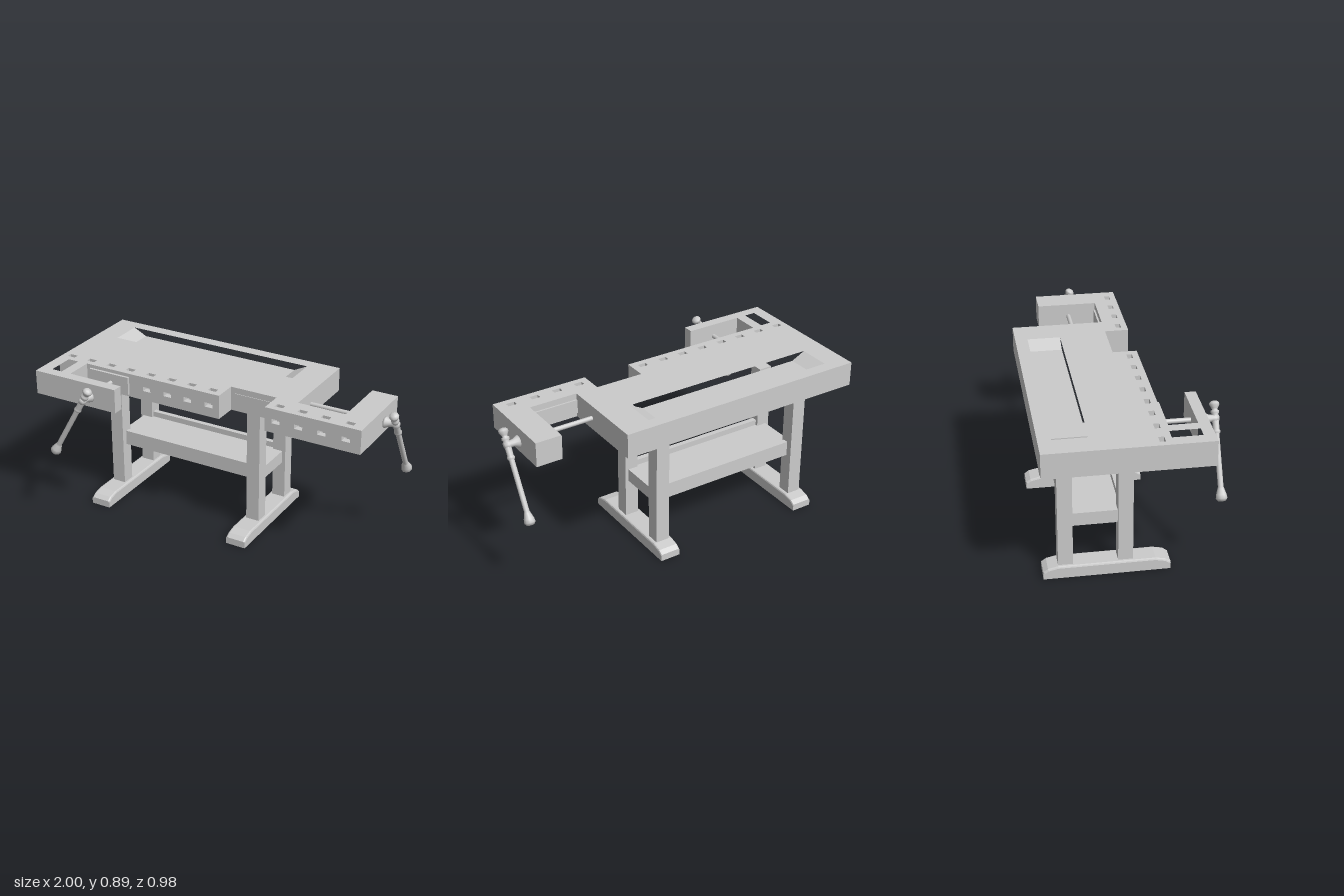
import * as THREE from 'three';

const material = new THREE.MeshStandardMaterial({ color: 0xcccccc });
const BOTTOM = 0.745, TOP = 0.885;      // worktop underside and surface
const SCREW_Y = 0.81;

function add(parent, name, geometry) {
  const mesh = new THREE.Mesh(geometry, material);
  mesh.name = name;
  parent.add(mesh);
  return mesh;
}

// Box given by its limits on each axis
function box(parent, name, [x0, x1], [y0, y1], [z0, z1]) {
  const g = new THREE.BoxGeometry(x1 - x0, y1 - y0, z1 - z0);
  g.translate((x0 + x1) / 2, (y0 + y1) / 2, (z0 + z1) / 2);
  return add(parent, name, g);
}

const rect = (x0, x1, y0, y1) => [[x0, y0], [x1, y0], [x1, y1], [x0, y1]];

function makeShape(points, holes = []) {
  const shape = new THREE.Shape(points.map(p => new THREE.Vector2(...p)));
  shape.holes = holes.map(h => new THREE.Path(h.map(p => new THREE.Vector2(...p))));
  return shape;
}

// Plan outline in (x, z), extruded upwards from y0 to y1
function slab(parent, name, outline, holes, y0 = BOTTOM, y1 = TOP) {
  const flip = pts => pts.map(([x, z]) => [x, -z]);
  const g = new THREE.ExtrudeGeometry(makeShape(flip(outline), holes.map(flip)),
    { depth: y1 - y0, bevelEnabled: false });
  g.rotateX(-Math.PI / 2).translate(0, y0, 0);
  return add(parent, name, g);
}

// Elevation outline in (x, y), extruded from z0 to z1
function panel(parent, name, outline, holes, z0, z1) {
  const g = new THREE.ExtrudeGeometry(makeShape(outline, holes), { depth: z1 - z0, bevelEnabled: false });
  g.translate(0, 0, z0);
  return add(parent, name, g);
}

// Square notches along the front edge, listed from right to left
const HOLE = 0.024;
const notches = xs => [...xs].reverse().flatMap(x =>
  [[x + HOLE, 0.13], [x + HOLE, 0.1], [x - HOLE, 0.1], [x - HOLE, 0.13]]);
const frontHoles = xs => xs.map(x => rect(x - HOLE, x + HOLE, 0.80, 0.826));

function dogHoleFloors(parent, xs) {
  for (const x of xs) box(parent, 'dogHoleFloor', [x - HOLE, x + HOLE], [BOTTOM, 0.765], [0.1, 0.13]);
}

function rod(parent, name, from, to, radius) {
  const a = new THREE.Vector3(...from), b = new THREE.Vector3(...to);
  const mesh = add(parent, name, new THREE.CylinderGeometry(radius, radius, a.distanceTo(b), 14));
  mesh.position.copy(a).add(b).multiplyScalar(0.5);
  mesh.quaternion.setFromUnitVectors(new THREE.Vector3(0, 1, 0), b.sub(a).normalize());
}

function lathe(profile, sides) {
  return new THREE.LatheGeometry(profile.map(p => new THREE.Vector2(...p)), sides);
}

// Flared screw head along +z with a turned bar passing through it
function makeHandle(name, tilt) {
  const handle = new THREE.Group();
  handle.name = name;
  const head = lathe([[0, 0], [0.02, 0], [0.033, 0.006], [0.031, 0.014], [0.021, 0.034],
    [0.018, 0.055], [0.024, 0.07], [0.016, 0.088], [0, 0.09]], 12);
  add(handle, 'screwHead', head.rotateX(Math.PI / 2));
  const bar = lathe([[0, -0.43], [0.02, -0.43], [0.031, -0.415], [0.028, -0.395], [0.018, -0.365],
    [0.015, -0.355], [0.015, -0.08], [0.021, -0.076], [0.021, -0.064], [0.017, -0.058],
    [0.019, 0], [0.017, 0.022], [0.022, 0.026], [0.022, 0.038], [0.014, 0.043],
    [0.018, 0.052], [0.027, 0.068], [0.026, 0.078], [0.016, 0.088], [0, 0.09]], 10);
  const mesh = add(handle, 'handleBar', bar);
  mesh.position.z = 0.07;
  mesh.rotation.z = tilt;
  return handle;
}

function makeWorktop() {
  const top = new THREE.Group();
  top.name = 'worktop';
  const through = [-0.94, -0.805, -0.67, -0.54];
  const blind = [-0.405, -0.27, -0.14, -0.005];
  const trayX = [-0.865, 0.30], trayZ = [-0.42, -0.235];
  slab(top, 'tableSlab', [[-1, -0.49], [0.47, -0.49], [0.47, 0.03], [0.06, 0.03], [0.06, 0.13],
    ...notches([...through, ...blind]), [-1, 0.13]], [rect(...trayX, ...trayZ)]);
  panel(top, 'frontEdge', rect(-1, 0.06, BOTTOM, TOP), frontHoles(blind), 0.13, 0.165);
  dogHoleFloors(top, blind);
  // Tool tray floor ramps up at both ends
  panel(top, 'toolTray', [[-0.865, BOTTOM], [0.3, BOTTOM], [0.3, TOP], [0.22, 0.845],
    [-0.785, 0.845], [-0.865, TOP]], [], ...trayZ);
  return top;
}

function makeFrontVise() {
  const vise = new THREE.Group();
  vise.name = 'frontVise';
  slab(vise, 'viseFrame', [[-1, 0.165], [-0.805, 0.165], [-0.805, 0.325], [-0.47, 0.325],
    [-0.47, 0.385], [-1, 0.385]], [rect(-0.93, -0.865, 0.165 + 0.001, 0.325)]);
  box(vise, 'jawPlate', [-0.78, -0.52], [0.76, 0.865], [0.165, 0.18]);
  rod(vise, 'viseScrew', [-0.635, SCREW_Y, 0.17], [-0.635, SCREW_Y, 0.33], 0.013);
  const handle = makeHandle('frontViseHandle', -Math.PI / 6);
  handle.position.set(-0.635, SCREW_Y, 0.385);
  vise.add(handle);
  return vise;
}

function makeEndVise() {
  const vise = new THREE.Group();
  vise.name = 'endVise';
  const holes = [0.405, 0.54, 0.675, 0.815];
  slab(vise, 'slidingJaw', [[0.34, 0.03], [0.75, 0.03], [0.75, -0.31], [0.9, -0.31], [0.9, 0.13],
    ...notches(holes), [0.34, 0.13]], []);
  panel(vise, 'jawFrontEdge', rect(0.34, 0.9, BOTTOM, TOP), frontHoles(holes), 0.13, 0.165);
  dogHoleFloors(vise, holes);
  box(vise, 'guideRail', [0.085, 0.73], [0.77, 0.85], [0.02, 0.034]);
  rod(vise, 'viseScrew', [0.46, SCREW_Y, -0.13], [0.76, SCREW_Y, -0.13], 0.013);
  const handle = makeHandle('endViseHandle', Math.PI / 6);
  handle.position.set(0.9, SCREW_Y, -0.13);
  handle.rotation.y = Math.PI / 2;
  vise.add(handle);
  return vise;
}

function makeTrestle(x) {
  const trestle = new THREE.Group();
  trestle.name = 'trestle';
  for (const z of [-0.03, -0.35])
    box(trestle, 'leg', [-0.04, 0.04], [0.06, BOTTOM], [z - 0.04, z + 0.04]);
  box(trestle, 'sideRail', [-0.02, 0.02], [0.295, 0.34], [-0.31, -0.07]);
  // Foot: sole with a shallow slot, and a chamfered runner above it
  slab(trestle, 'footSole', rect(-0.06, 0.06, -0.47, 0.21), [rect(-0.03, 0.03, -0.38, 0.12)], 0, 0.034);
  const runner = new THREE.ExtrudeGeometry(makeShape([[-0.21, 0.02], [0.47, 0.02], [0.47, 0.04],
    [0.445, 0.058], [0.39, 0.07], [-0.13, 0.07], [-0.185, 0.058], [-0.21, 0.04]]),
    { depth: 0.1, bevelThickness: 0.01, bevelSize: 0.01, bevelOffset: -0.01, bevelSegments: 2 });
  runner.translate(0, 0, -0.05).rotateY(Math.PI / 2);
  add(trestle, 'footRunner', runner);
  trestle.position.x = x;
  return trestle;
}

export function createModel() {
  const bench = new THREE.Group();
  bench.name = 'workbench';
  bench.add(makeWorktop(), makeFrontVise(), makeEndVise());
  for (const x of [-0.725, 0.19]) bench.add(makeTrestle(x));
  // Shelf between two long rails
  for (const z of [-0.04, -0.34])
    box(bench, 'longRail', [-0.7, 0.165], [0.315, 0.403], [z - 0.015, z + 0.015]);
  box(bench, 'shelf', [-0.745, 0.21], [0.34, 0.37], [-0.33, -0.05]);
  return bench;
}
